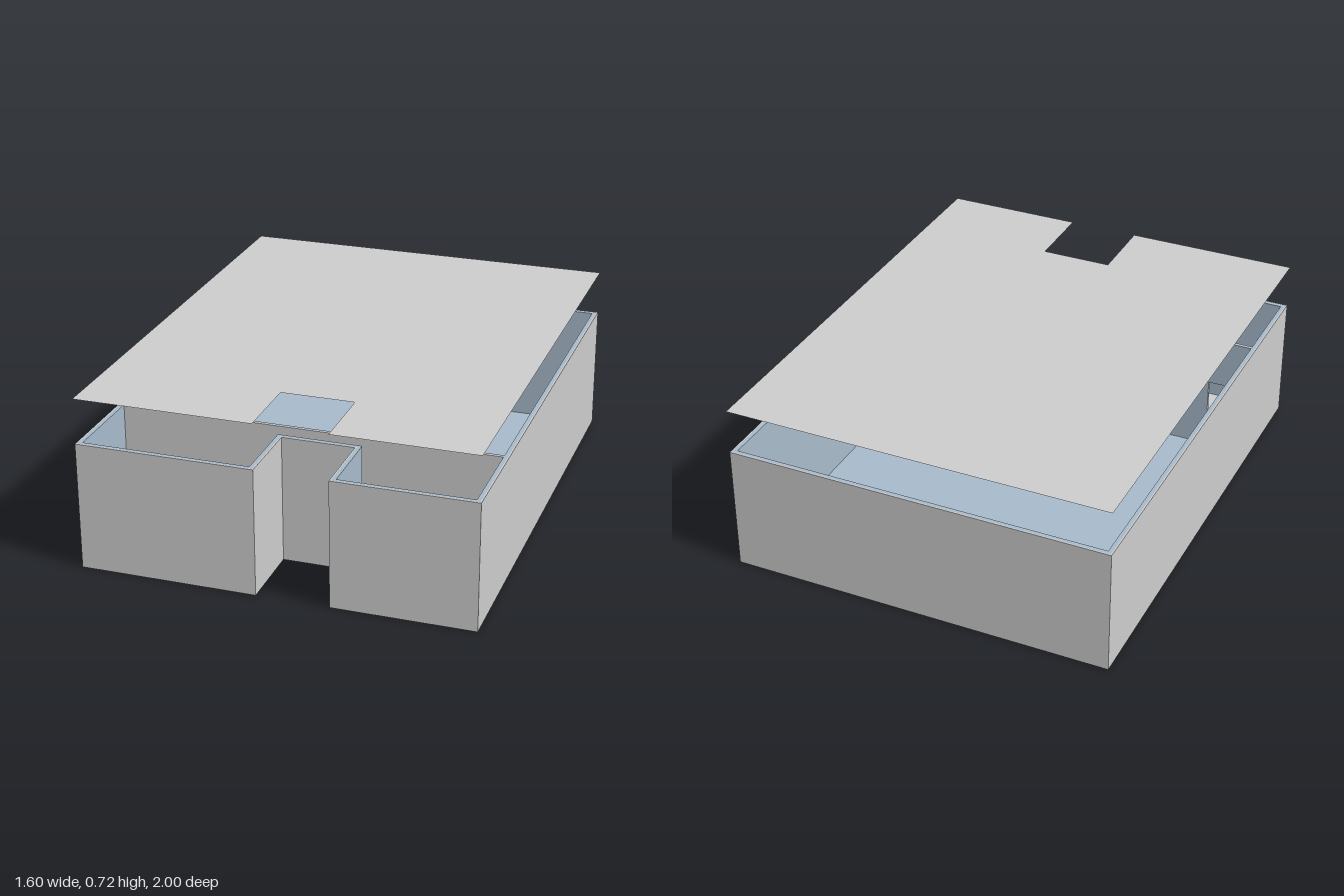
import * as THREE from 'three';

const WALL_H = 0.53, ROOF_Y = 0.717, PARTITION_Z = 0.6;
const grey = new THREE.MeshStandardMaterial({ color: 0xcccccc });
const blue = new THREE.MeshStandardMaterial({ color: 0xa7baca });
const roofGrey = new THREE.MeshStandardMaterial({ color: 0xcccccc, side: THREE.DoubleSide });

// Floor plan with the entrance notch, moved inward by d (plan y is -z)
function plan(d) {
  return [
    [-0.8 + d, -1 + d], [-0.075 - d, -1 + d], [-0.075 - d, -0.695 + d],
    [0.222 + d, -0.695 + d], [0.222 + d, -1 + d], [0.8 - d, -1 + d],
    [0.8 - d, 1 - d], [-0.8 + d, 1 - d],
  ].map(([x, y]) => new THREE.Vector2(x, y));
}

// Shape on the ground raised from y0 to y1
function raise(outline, hole, y0, y1) {
  const shape = new THREE.Shape(outline);
  if (hole) shape.holes.push(new THREE.Path(hole));
  return new THREE.ExtrudeGeometry(shape, { depth: y1 - y0, bevelEnabled: false })
    .rotateX(-Math.PI / 2).translate(0, y0, 0);
}

export function createModel() {
  const model = new THREE.Group();
  const add = (name, geometry, material) => {
    const mesh = new THREE.Mesh(geometry, material);
    mesh.name = name;
    model.add(mesh);
  };

  // Thin outer skin and the coloured lining behind it
  add('outerWalls', raise(plan(0), plan(0.006), 0, WALL_H), grey);
  add('wallLining', raise(plan(0.006), plan(0.022), 0.004, WALL_H), blue);

  // Base rim and front room floors, with the main floor set in
  const room = [[-0.78, -PARTITION_Z + 0.02], [0.78, -PARTITION_Z + 0.02], [0.78, 0.98], [-0.78, 0.98]]
    .map(([x, y]) => new THREE.Vector2(x, y));
  add('base', raise(plan(0.006), room, 0, 0.004), grey);
  add('mainFloor', raise(room, null, 0, 0.004), blue);

  // Partition with two doorways: grey to the front, coloured to the back
  const w = 0.778, doorH = 0.318, doors = [[-0.74, -0.6], [0.34, 0.45]];
  const shape = new THREE.Shape();
  shape.moveTo(-w, 0.004);
  for (const [a, b] of doors) {
    shape.lineTo(a, 0.004);
    shape.lineTo(a, doorH);
    shape.lineTo(b, doorH);
    shape.lineTo(b, 0.004);
  }
  shape.lineTo(w, 0.004);
  shape.lineTo(w, WALL_H);
  shape.lineTo(-w, WALL_H);
  const panel = z => new THREE.ExtrudeGeometry(shape, { depth: 0.008, bevelEnabled: false }).translate(0, 0, z);
  add('partitionFront', panel(PARTITION_Z - 0.008), grey);
  add('partitionBack', panel(PARTITION_Z - 0.016), blue);

  // Flat roof sheet hovering above the walls
  add('roof', new THREE.ShapeGeometry(new THREE.Shape(plan(0))).rotateX(-Math.PI / 2).translate(0, ROOF_Y, 0), roofGrey);

  return model;
}
